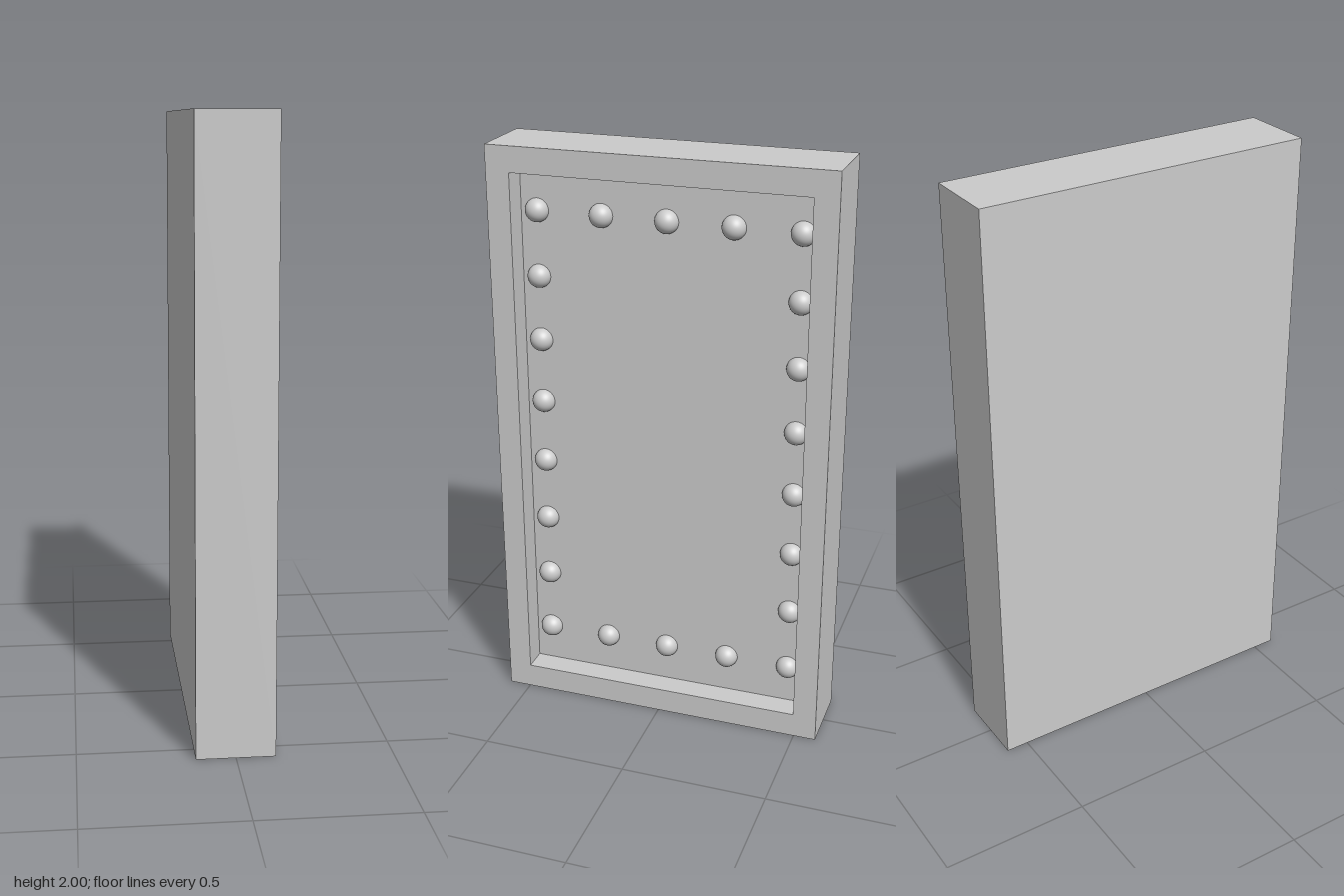
import * as THREE from 'three';

const HEIGHT = 2, HALF_WIDTH = 0.577, HALF_DEPTH = 0.127;
const RIM_Z = 0.081, RIM_Y = 0.086, FLOOR_X = 0.042;
const RIVET_RADIUS = 0.04, RIVET_STEP = 0.2222;

// Rectangle of four corners at a given x, counter-clockwise seen from +x
function ring(x, insetZ, insetY) {
  const z = HALF_WIDTH - insetZ, top = HEIGHT - insetY;
  return [[x, insetY, z], [x, insetY, -z], [x, top, -z], [x, top, z]];
}

// Slab with a recessed tray in its +x side, lofted through rectangles
function slabGeometry() {
  const rings = [
    ring(-HALF_DEPTH, 0, 0),
    ring(HALF_DEPTH, 0, 0),
    ring(HALF_DEPTH, RIM_Z, RIM_Y),
    ring(FLOOR_X, RIM_Z, RIM_Y),
  ];
  const points = [];
  const quad = (a, b, c, d) => points.push(...a, ...b, ...c, ...a, ...c, ...d);

  for (let r = 0; r < rings.length - 1; r++) {
    for (let i = 0; i < 4; i++) {
      const j = (i + 1) % 4;
      quad(rings[r][i], rings[r][j], rings[r + 1][j], rings[r + 1][i]);
    }
  }
  quad(...[...rings[0]].reverse()); // plain back
  quad(...rings[3]); // recess floor

  const geometry = new THREE.BufferGeometry();
  geometry.setAttribute('position', new THREE.Float32BufferAttribute(points, 3));
  geometry.computeVertexNormals();
  return geometry;
}

export function createModel() {
  const model = new THREE.Group();
  model.name = 'rivetedPanel';
  const material = new THREE.MeshStandardMaterial({ color: 0xcccccc });

  const slab = new THREE.Mesh(slabGeometry(), material);
  slab.name = 'recessedSlab';
  model.add(slab);

  // Domed rivets around the border of the recess floor
  const rivets = new THREE.Group();
  rivets.name = 'rivets';
  const dome = new THREE.SphereGeometry(RIVET_RADIUS, 32, 12, 0, Math.PI * 2, 0, Math.PI / 2);
  dome.rotateZ(-Math.PI / 2);
  for (let row = 1; row <= 8; row++) {
    for (let col = -2; col <= 2; col++) {
      if (row > 1 && row < 8 && Math.abs(col) < 2) continue;
      const rivet = new THREE.Mesh(dome, material);
      rivet.name = 'rivet';
      rivet.position.set(FLOOR_X, row * RIVET_STEP, col * RIVET_STEP - 0.005);
      rivets.add(rivet);
    }
  }
  model.add(rivets);

  return model;
}
